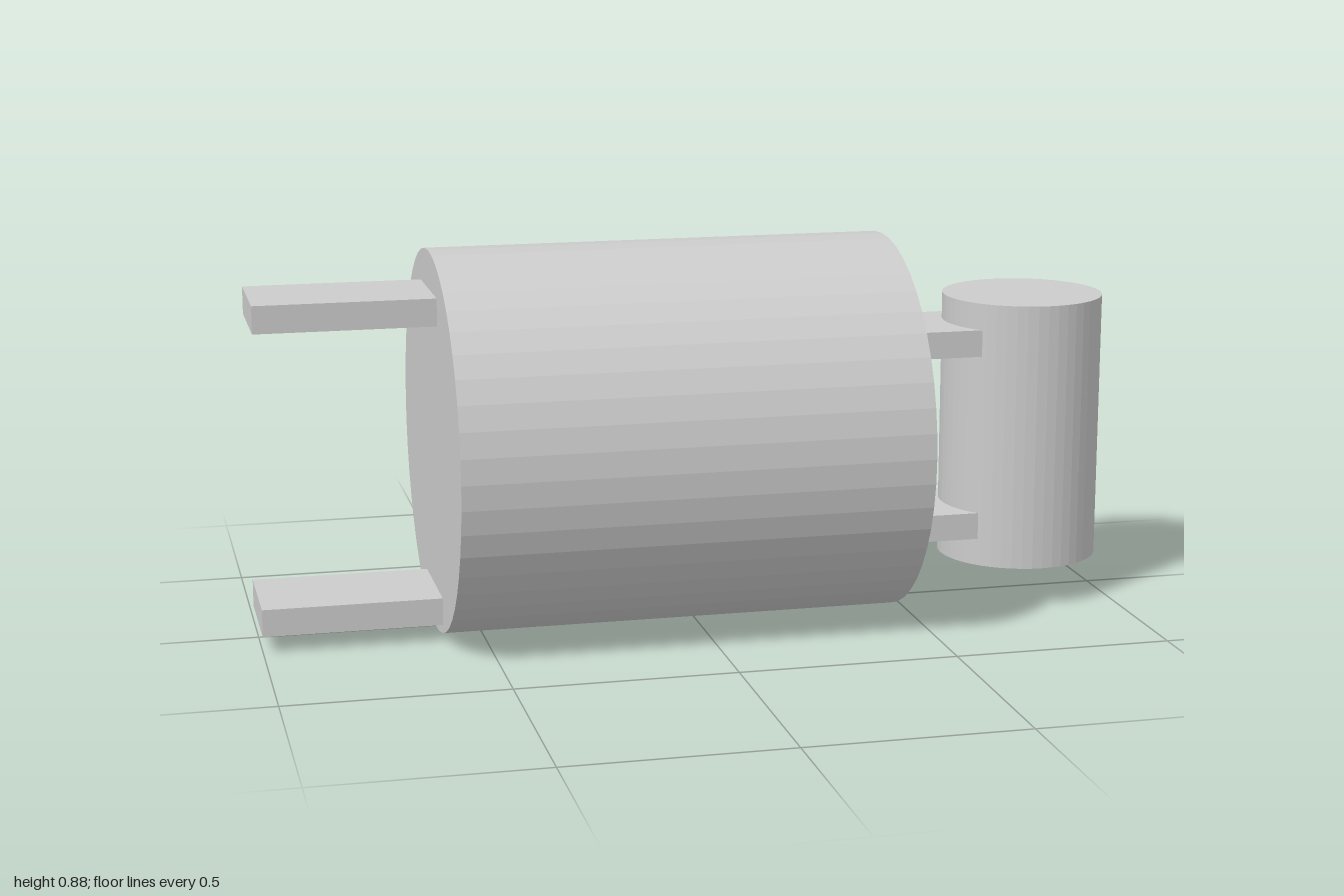
import * as THREE from 'three';

const SIDES = 48;
const AXIS_Y = 0.4375;

export function createModel() {
  const model = new THREE.Group();
  model.name = 'drumAndCylinder';
  const material = new THREE.MeshStandardMaterial({ color: 0xcccccc, flatShading: true });

  function add(name, geometry, x, y) {
    const mesh = new THREE.Mesh(geometry, material);
    mesh.name = name;
    mesh.position.set(x, y, 0);
    model.add(mesh);
    return mesh;
  }

  // Flat bar running along x from x0 to x1
  function addBar(name, x0, x1, y) {
    add(name, new THREE.BoxGeometry(x1 - x0, 0.0625, 0.25), (x0 + x1) / 2, y);
  }

  // Large drum lying along x
  const drum = add('drum', new THREE.CylinderGeometry(0.4375, 0.4375, 1.06, SIDES), -0.065, AXIS_Y);
  drum.rotation.z = Math.PI / 2;

  // Small upright cylinder
  add('uprightCylinder', new THREE.CylinderGeometry(0.1875, 0.1875, 0.625, SIDES), 0.8125, 0.4085);

  // Paired bars: long ones on the free end, short ones holding the cylinder
  for (const [side, longY, shortY] of [['upper', 0.756, 0.628], ['lower', 0.069, 0.191]]) {
    addBar(side + 'EndBar', -1, -0.585, longY);
    addBar(side + 'ConnectingBar', 0.455, 0.674, shortY);
  }

  return model;
}
